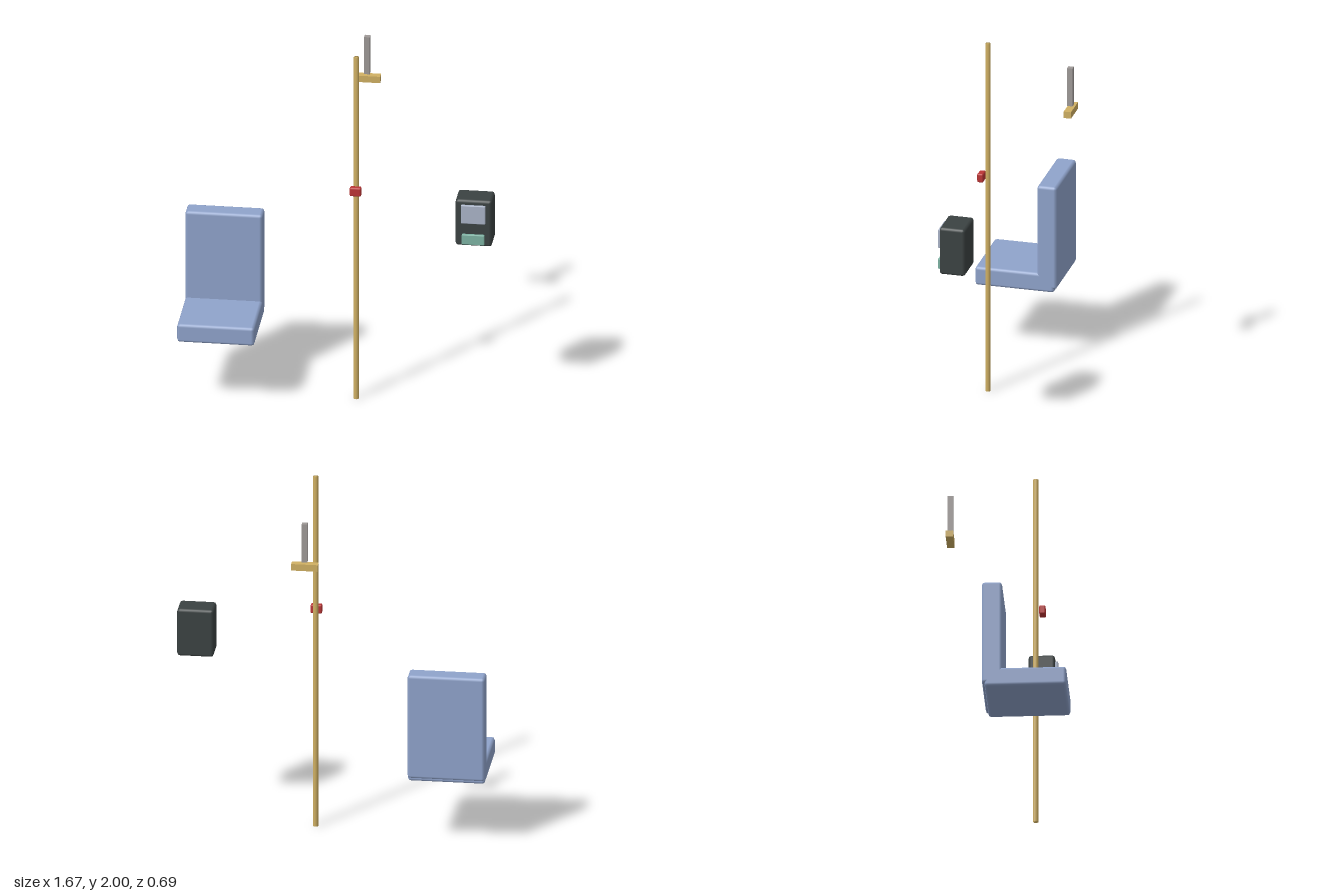
import * as THREE from 'three';
import { RoundedBoxGeometry } from 'three/addons/geometries/RoundedBoxGeometry.js';
import { mergeVertices } from 'three/addons/utils/BufferGeometryUtils.js';

const material = (name, color) => {
  const m = new THREE.MeshStandardMaterial({ color });
  m.name = name;
  return m;
};

export function createModel() {
  const fabric = material('blue upholstery', 0x8fa3cb);
  const brass = material('yellow brass', 0xd0b063);
  const red = material('red button', 0xbc3535);
  const casing = material('charcoal casing', 0x3b4242);
  const glass = material('pale screen', 0xaab4c8);
  const green = material('green panel', 0x7db3a3);
  const grey = material('grey webbing', 0x9f9a98);

  const model = new THREE.Group();
  model.name = 'busInterior';

  const group = (name) => {
    const g = new THREE.Group();
    g.name = name;
    model.add(g);
    return g;
  };

  // Box from its ranges on each axis, with softened edges when radius > 0
  const box = (parent, name, mat, [x0, x1], [y0, y1], [z0, z1], radius = 0) => {
    const size = [x1 - x0, y1 - y0, z1 - z0];
    const geometry = radius
      ? new RoundedBoxGeometry(...size, 1, radius)
      : new THREE.BoxGeometry(...size);
    const mesh = new THREE.Mesh(geometry, mat);
    mesh.name = name;
    mesh.position.set((x0 + x1) / 2, (y0 + y1) / 2, (z0 + z1) / 2);
    parent.add(mesh);
  };

  // Seat
  const seat = group('seat');
  box(seat, 'seatCushion', fabric, [-0.835, -0.422], [0.37, 0.475], [-0.092, 0.343], 0.016);
  box(seat, 'seatBack', fabric, [-0.835, -0.422], [0.39, 0.978], [-0.106, 0.002], 0.016);

  // Grab pole, with normals shared between its side and its caps
  const poleShape = new THREE.CylinderGeometry(0.015, 0.015, 2, 12);
  poleShape.deleteAttribute('normal');
  poleShape.deleteAttribute('uv');
  const poleGeometry = mergeVertices(poleShape);
  poleGeometry.computeVertexNormals();
  const pole = new THREE.Mesh(poleGeometry, brass);
  pole.name = 'grabPole';
  pole.position.set(0.098, 1, 0.129);
  model.add(pole);

  // Stop button in front of the pole
  box(model, 'stopButton', red, [0.067, 0.129], [1.205, 1.255], [0.148, 0.182], 0.008);

  // Card reader
  const reader = group('cardReader');
  box(reader, 'readerCasing', casing, [0.636, 0.831], [0.961, 1.229], [0.059, 0.2], 0.015);
  box(reader, 'readerScreen', glass, [0.667, 0.798], [1.098, 1.204], [0.198, 0.215], 0.004);
  box(reader, 'readerPanel', green, [0.672, 0.793], [0.976, 1.034], [0.198, 0.217], 0.004);

  // Hanging strap and handle
  const strap = group('hangingStrap');
  box(strap, 'strapWebbing', grey, [0.083, 0.113], [1.695, 1.912], [-0.339, -0.309]);
  box(strap, 'strapHandle', brass, [0.026, 0.169], [1.648, 1.685], [-0.346, -0.306]);

  return model;
}
